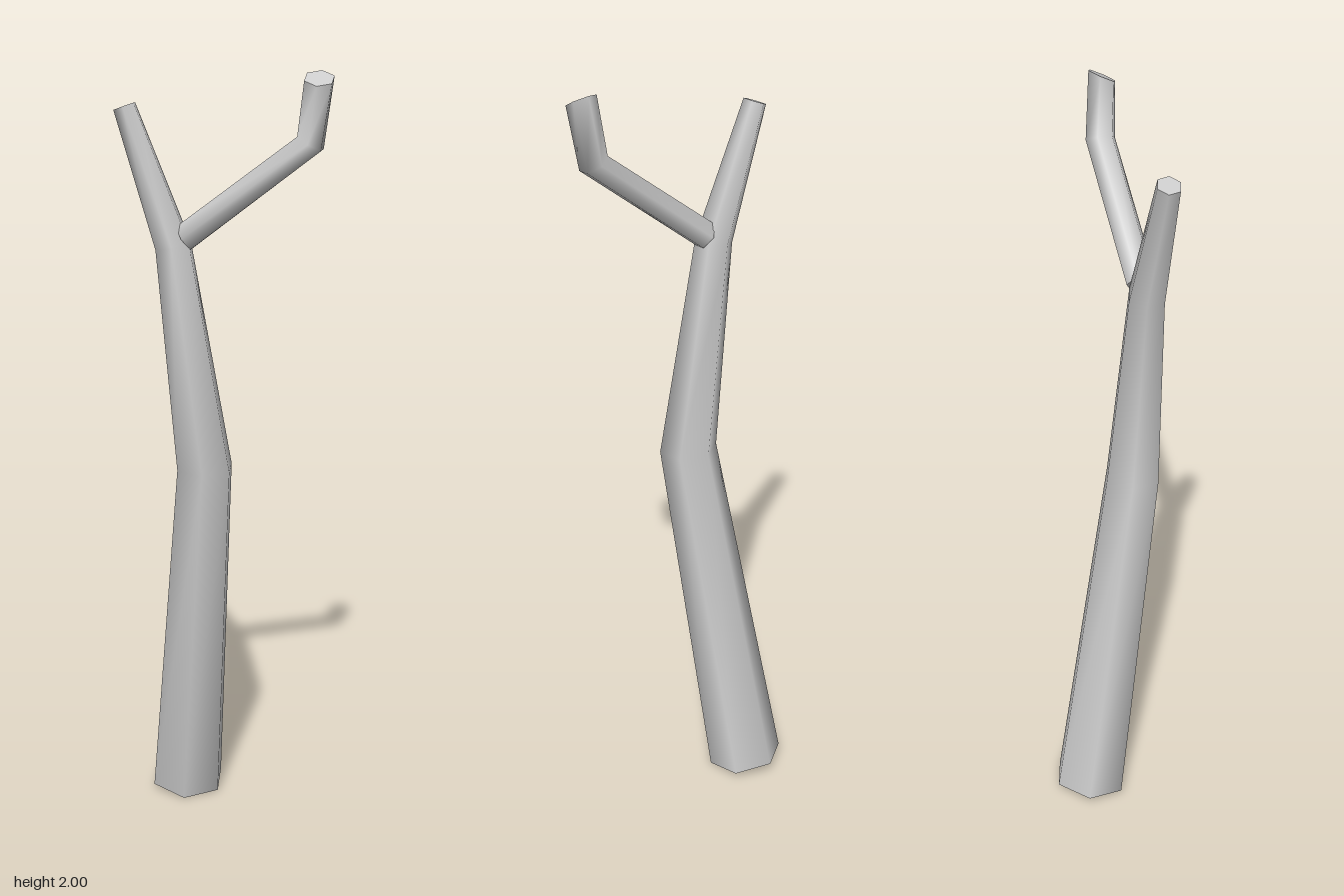
import * as THREE from 'three';

const SIDES = 6;

// Tapered limb from hexagonal rings: { at: centre, r: radius, n: ring normal }
function limb(name, rings, phaseDeg, material) {
  const phase = THREE.MathUtils.degToRad(phaseDeg);
  const up = new THREE.Vector3(0, 1, 0);
  const loops = rings.map(({ at, r, n }) => {
    const q = new THREE.Quaternion().setFromUnitVectors(up, new THREE.Vector3(...n).normalize());
    return Array.from({ length: SIDES }, (_, i) => {
      const a = phase + (i * Math.PI * 2) / SIDES;
      return new THREE.Vector3(Math.cos(a) * r, 0, Math.sin(a) * r)
        .applyQuaternion(q).add(new THREE.Vector3(...at));
    });
  });

  const positions = [];
  const index = [];
  const push = (p) => positions.push(p.x, p.y, p.z);

  // Side walls share vertices so they shade smoothly
  loops.forEach((loop) => loop.forEach(push));
  for (let k = 0; k < loops.length - 1; k++) {
    for (let i = 0; i < SIDES; i++) {
      const j = (i + 1) % SIDES;
      const a = k * SIDES + i, b = k * SIDES + j;
      index.push(a, a + SIDES, b, b, a + SIDES, b + SIDES);
    }
  }

  // End caps have their own vertices so their rims stay sharp
  const cap = (loop, top) => {
    const s = positions.length / 3;
    loop.forEach(push);
    for (let i = 1; i < SIDES - 1; i++) {
      if (top) index.push(s, s + i + 1, s + i);
      else index.push(s, s + i, s + i + 1);
    }
  };
  cap(loops[0], false);
  cap(loops[loops.length - 1], true);

  const geometry = new THREE.BufferGeometry();
  geometry.setAttribute('position', new THREE.Float32BufferAttribute(positions, 3));
  geometry.setIndex(index);
  geometry.computeVertexNormals();
  const mesh = new THREE.Mesh(geometry, material);
  mesh.name = name;
  return mesh;
}

export function createModel() {
  const group = new THREE.Group();
  group.name = 'bareTree';
  const bark = new THREE.MeshStandardMaterial({ color: 0xcccccc });

  // Leaning trunk, bent at mid height and again at the fork
  group.add(limb('trunk', [
    { at: [-0.14, 0.018, -0.066], r: 0.104, n: [0.09, 0.98, 0.155] },
    { at: [-0.05, 0.985, 0.09], r: 0.078, n: [0.03, 1, 0.05] },
    { at: [-0.13, 1.56, 0.087], r: 0.05, n: [-0.2, 1, 0] },
    { at: [-0.254, 1.905, 0.083], r: 0.031, n: [-0.34, 0.94, 0] },
  ], 82, bark));

  // Side branch with an upturned tip
  group.add(limb('branch', [
    { at: [-0.1, 1.583, 0.085], r: 0.039, n: [0.85, 0.55, 0.03] },
    { at: [0.221, 1.825, 0.102], r: 0.039, n: [0.5, 0.86, 0.05] },
    { at: [0.243, 1.98, 0.114], r: 0.039, n: [0.1, 1, 0.5] },
  ], 90, bark));

  return group;
}
